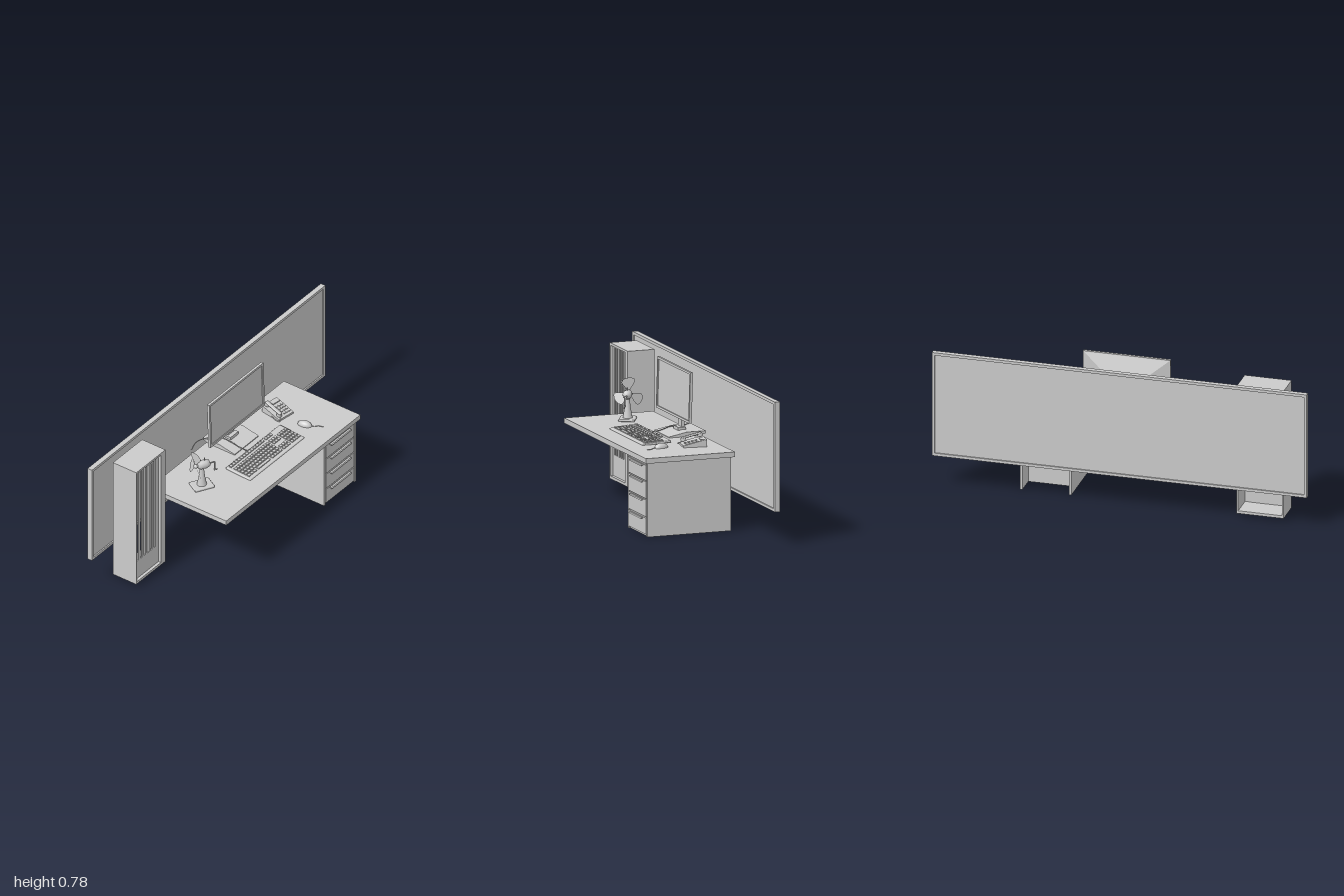
import * as THREE from 'three';
import { RoundedBoxGeometry } from 'three/addons/geometries/RoundedBoxGeometry.js';

const mat = new THREE.MeshStandardMaterial({ color: 0xcccccc });
const thin = new THREE.MeshStandardMaterial({ color: 0xcccccc, side: THREE.DoubleSide });

function add(parent, name, geo, x = 0, y = 0, z = 0, material = mat) {
  const m = new THREE.Mesh(geo, material);
  m.name = name;
  m.position.set(x, y, z);
  parent.add(m);
  return m;
}

// Box given by its min and max on each axis
function span(parent, name, x0, x1, y0, y1, z0, z1) {
  return add(parent, name, new THREE.BoxGeometry(x1 - x0, y1 - y0, z1 - z0),
    (x0 + x1) / 2, (y0 + y1) / 2, (z0 + z1) / 2);
}

function group(parent, name, x = 0, y = 0, z = 0) {
  const g = new THREE.Group();
  g.name = name;
  g.position.set(x, y, z);
  parent.add(g);
  return g;
}

function rect(P, x0, x1, y0, y1) {
  return new P().moveTo(x0, y0).lineTo(x1, y0).lineTo(x1, y1).lineTo(x0, y1).closePath();
}

// Rectangular plate with rectangular holes, back face at z
function plate(parent, name, outer, holes, z, depth) {
  const s = rect(THREE.Shape, ...outer);
  holes.forEach(h => s.holes.push(rect(THREE.Path, ...h)));
  return add(parent, name, new THREE.ExtrudeGeometry(s, { depth, bevelEnabled: false }), 0, 0, z);
}

// Side profile in (z, y) extruded across x
function sideExtrude(pts, width) {
  const s = new THREE.Shape(pts.map(p => new THREE.Vector2(-p[0], p[1])));
  const g = new THREE.ExtrudeGeometry(s, { depth: width, bevelEnabled: false });
  return g.translate(0, 0, -width / 2).rotateY(Math.PI / 2);
}

function tube(parent, name, pts, r) {
  const c = new THREE.CatmullRomCurve3(pts.map(p => new THREE.Vector3(...p)));
  return add(parent, name, new THREE.TubeGeometry(c, 40, r, 8), 0, 0, 0, thin);
}

function buildBoard(root) {
  const g = group(root, 'wallBoard');
  plate(g, 'boardFrame', [-1, 1, 0.175, 0.75], [[-0.985, 0.985, 0.19, 0.735]], -0.285, 0.028);
  span(g, 'boardPanel', -0.986, 0.986, 0.189, 0.736, -0.278, -0.264);
}

function buildCabinet(root) {
  const g = group(root, 'tallCabinet');
  const f = -0.078, b = -0.227;
  span(g, 'cabinetSide', -0.86, -0.852, 0.02, 0.73, b, f);
  span(g, 'cabinetSide', -0.618, -0.61, 0.02, 0.73, b, f);
  span(g, 'cabinetTop', -0.852, -0.618, 0.718, 0.73, b, f);
  span(g, 'cabinetBottom', -0.852, -0.618, 0.02, 0.035, b, f);
  span(g, 'cabinetPost', -0.648, -0.618, 0.035, 0.718, -0.1, f);
  const slots = [];
  for (let i = 0; i < 6; i++) slots.push([-0.832 + i * 0.029, -0.818 + i * 0.029, 0.145, 0.712]);
  plate(g, 'slottedDoor', [-0.852, -0.648, 0.035, 0.718], slots, -0.102, 0.008);
}

function buildDesk(root) {
  const g = group(root, 'desk');
  span(g, 'desktop', -0.575, 0.575, 0.388, 0.415, -0.205, 0.285);
  span(g, 'pedestalSide', 0.283, 0.296, 0, 0.388, -0.189, 0.271);
  span(g, 'pedestalSide', 0.544, 0.556, 0, 0.388, -0.189, 0.271);
  span(g, 'pedestalCore', 0.296, 0.544, 0, 0.388, -0.08, 0.262);
  // Drawer fronts with hooked lip handles
  const tops = [0.372, 0.287, 0.192, 0.097, 0.006];
  for (let i = 0; i < 4; i++) {
    span(g, 'drawerFront', 0.299, 0.538, tops[i + 1] + 0.006, tops[i], -0.06, 0.272);
    const y = tops[i] - 0.008;
    const lip = [[0.271, y], [0.271, y + 0.004], [0.281, y + 0.003], [0.285, y - 0.002], [0.282, y - 0.002], [0.279, y]];
    add(g, 'drawerHandle', sideExtrude(lip, 0.17), 0.415, 0, 0);
  }
}

function buildMonitor(root) {
  const g = group(root, 'monitor', 0.013, 0.51, -0.083);
  g.rotation.x = -0.03;
  plate(g, 'bezel', [-0.233, 0.233, 0, 0.266], [[-0.22, 0.22, 0.013, 0.254]], -0.012, 0.014);
  span(g, 'screen', -0.222, 0.222, 0.011, 0.256, -0.012, -0.003);
  // Tapered back shell
  const shell = new THREE.BoxGeometry(0.456, 0.256, 0.034).translate(0, 0.133, -0.029);
  const p = shell.attributes.position;
  for (let i = 0; i < p.count; i++) {
    if (p.getZ(i) < -0.03) p.setXYZ(i, Math.sign(p.getX(i)) * 0.09, p.getY(i) > 0.133 ? 0.15 : 0.012, -0.05);
  }
  shell.computeVertexNormals();
  add(g, 'backShell', shell);
  // Stand
  const s = group(root, 'monitorStand', 0.011, 0, 0);
  add(s, 'standFoot', sideExtrude([[-0.022, 0.415], [-0.022, 0.42], [-0.12, 0.439], [-0.225, 0.439], [-0.225, 0.426], [-0.19, 0.415]], 0.205));
  span(s, 'standNeck', -0.025, 0.025, 0.435, 0.56, -0.138, -0.122);
  span(s, 'neckCollar', -0.034, 0.034, 0.435, 0.452, -0.142, -0.1);
}

function buildKeyboard(root) {
  const g = group(root, 'keyboard', 0.012, 0.42, 0.095);
  g.rotation.x = 0.06;
  add(g, 'keyboardBody', new RoundedBoxGeometry(0.465, 0.012, 0.16, 2, 0.005));
  const row = (x0, x1, n, z) => {
    const step = (x1 - x0) / n;
    for (let i = 0; i < n; i++)
      add(g, 'key', new THREE.BoxGeometry(step * 0.8, 0.008, 0.015), x0 + step * (i + 0.5), 0.008, z);
  };
  for (let r = 0; r < 6; r++) {
    const z = r === 0 ? -0.062 : -0.052 + r * 0.021;
    if (r < 5) row(-0.22, 0.07, [13, 15, 14, 13, 12][r], z);
    else { row(-0.22, -0.15, 3, z); row(-0.148, -0.02, 1, z); row(-0.018, 0.07, 4, z); }
    if (r !== 3) row(0.08, 0.14, 3, z);
    if (r > 0) row(0.15, 0.225, 4, z);
  }
  tube(root, 'keyboardCable', [[-0.03, 0.424, 0.02], [-0.035, 0.428, -0.03], [-0.04, 0.443, -0.09], [-0.045, 0.443, -0.16],
    [-0.11, 0.438, -0.222], [-0.14, 0.428, -0.237], [-0.16, 0.39, -0.247]], 0.0025);
}

function buildMouse(root) {
  const g = group(root, 'mouse', 0.335, 0.415, 0.108);
  g.rotation.y = 0.2;
  const dome = new THREE.SphereGeometry(1, 24, 10, 0, Math.PI * 2, 0, Math.PI / 2);
  add(g, 'mouseBody', dome.scale(0.023, 0.025, 0.039), 0, 0, 0, thin);
  tube(root, 'mouseCord', [[0.342, 0.42, 0.14], [0.35, 0.418, 0.158], [0.366, 0.418, 0.172], [0.375, 0.418, 0.2]], 0.0018);
}

function buildPhone(root) {
  const g = group(root, 'telephone', 0.338, 0.415, -0.067);
  g.rotation.y = -0.15;
  add(g, 'phoneBody', sideExtrude([[0.062, 0], [0.062, 0.01], [-0.03, 0.032], [-0.062, 0.038], [-0.062, 0]], 0.105));
  for (let i = 0; i < 12; i++) {
    const z = 0.042 - Math.floor(i / 3) * 0.018;
    add(g, 'phoneKey', new THREE.BoxGeometry(0.011, 0.006, 0.011), 0.004 + (i % 3) * 0.017, 0.01 + (0.062 - z) * 0.24, z);
  }
  add(g, 'phoneDisplay', new THREE.BoxGeometry(0.05, 0.006, 0.022), 0.022, 0.035, -0.042);
  // Handset lying along the side
  const h = group(g, 'handset', -0.032, 0.037, 0);
  h.rotation.x = 0.24;
  add(h, 'handsetGrip', new RoundedBoxGeometry(0.02, 0.011, 0.11, 3, 0.005), 0, 0.01, 0);
  for (const s of [-1, 1]) add(h, 'handsetCup', new THREE.CylinderGeometry(0.013, 0.015, 0.016, 20), 0, 0.002, s * 0.045);
  tube(g, 'handsetCord', [[-0.035, 0.015, 0.055], [-0.05, 0.005, 0.068], [-0.058, 0.004, 0.04], [-0.052, 0.008, 0.01]], 0.0025);
}

function buildFan(root) {
  const g = group(root, 'deskFan', -0.405, 0.415, 0.002);
  g.rotation.y = -0.5;
  add(g, 'fanBase', new RoundedBoxGeometry(0.11, 0.013, 0.085, 3, 0.005), 0, 0.0065, 0);
  const neck = [[0.026, 0.01], [0.022, 0.03], [0.016, 0.065], [0.012, 0.1], [0.011, 0.125]].map(p => new THREE.Vector2(...p));
  add(g, 'fanNeck', new THREE.LatheGeometry(neck, 24), 0, 0, 0, thin);
  // Motor lies along the fan axis
  const motor = [[0, -0.03], [0.016, -0.03], [0.023, -0.018], [0.024, 0.012], [0.018, 0.032], [0, 0.038]].map(p => new THREE.Vector2(...p));
  add(g, 'fanMotor', new THREE.LatheGeometry(motor, 24).rotateZ(-Math.PI / 2), 0.008, 0.135, 0, thin);
  add(g, 'fanHub', new THREE.SphereGeometry(0.012, 16, 12), -0.034, 0.135, 0);
  add(g, 'motorKnob', new THREE.CylinderGeometry(0.003, 0.003, 0.018, 10), 0.015, 0.164, 0);
  // Three broad twisted blades
  const blade = new THREE.Shape().moveTo(-0.005, 0.006);
  blade.bezierCurveTo(-0.012, 0.03, -0.036, 0.04, -0.036, 0.058);
  blade.bezierCurveTo(-0.03, 0.082, 0.02, 0.086, 0.034, 0.07);
  blade.bezierCurveTo(0.036, 0.05, 0.012, 0.03, 0.005, 0.006);
  for (let i = 0; i < 3; i++) {
    const b = add(g, 'fanBlade', new THREE.ShapeGeometry(blade, 12).rotateY(Math.PI / 2 + 0.35), -0.035, 0.135, 0, thin);
    b.rotation.x = i * Math.PI * 2 / 3;
  }
  // Crank arm behind the motor
  add(g, 'crankShaft', new THREE.CylinderGeometry(0.004, 0.004, 0.03, 10).rotateZ(Math.PI / 2), 0.055, 0.132, 0);
  add(g, 'crankArm', new RoundedBoxGeometry(0.006, 0.055, 0.01, 2, 0.002), 0.07, 0.11, 0.004);
  add(g, 'crankGrip', new THREE.CylinderGeometry(0.005, 0.005, 0.018, 10).rotateZ(Math.PI / 2), 0.076, 0.086, 0.004);
}

export function createModel() {
  const root = new THREE.Group();
  root.name = 'officeWorkstation';
  [buildBoard, buildCabinet, buildDesk, buildMonitor, buildKeyboard, buildMouse, buildPhone, buildFan].forEach(f => f(root));
  return root;
}
